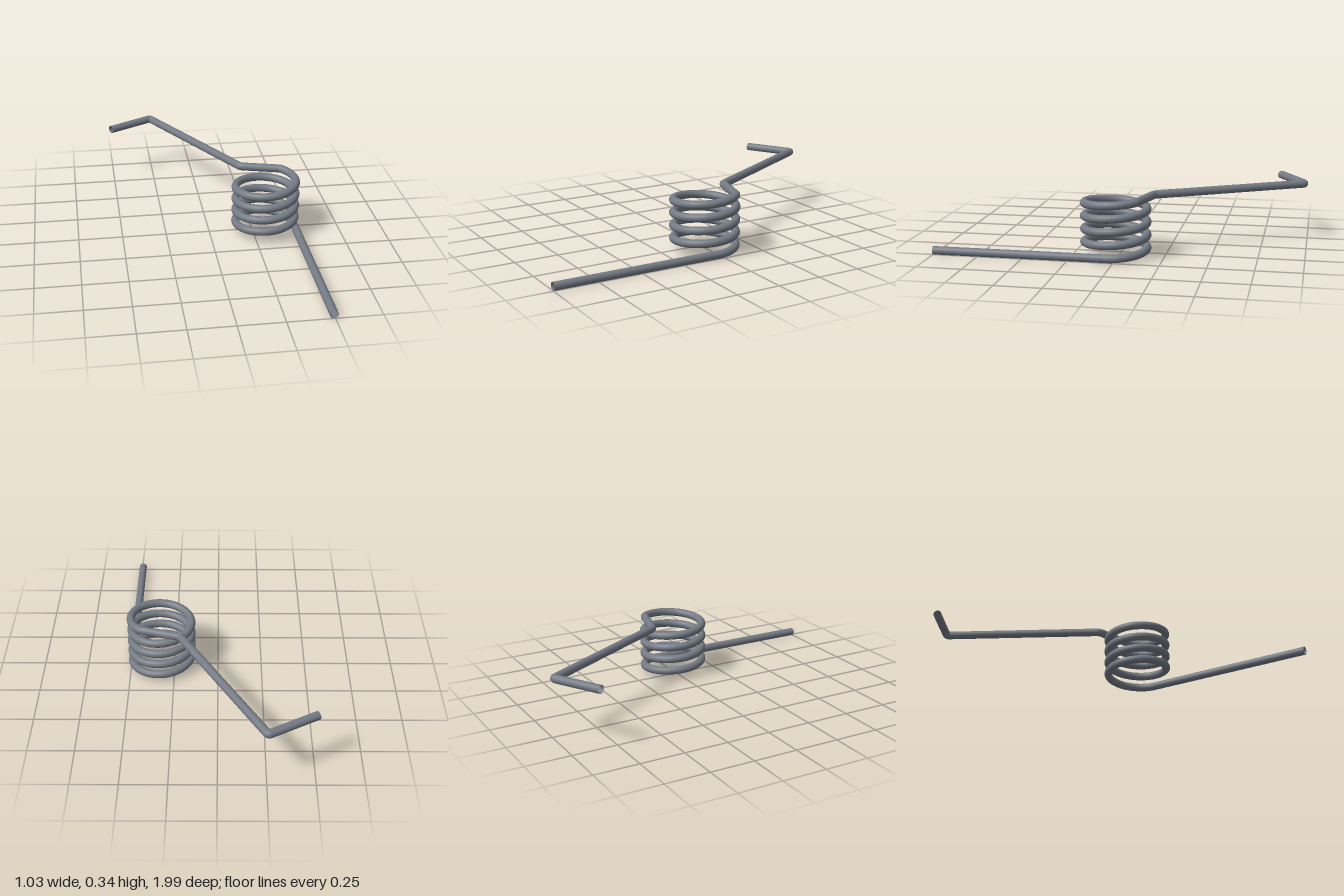
import * as THREE from 'three';

const WIRE = 0.023;               // wire radius
const COIL = { x: 0.322, z: 0.017, r: 0.171 };
const Y0 = 0.0235, Y1 = 0.321;    // heights of the lower and upper legs
const V = (x, y, z) => new THREE.Vector3(x, y, z);

// Curve that visits a list of points exactly, one tube ring per point
class PointPath extends THREE.Curve {
  constructor(points) { super(); this.points = points; }
  index(u) { return Math.round(u * (this.points.length - 1)); }
  getPointAt(u, target = V()) { return target.copy(this.points[this.index(u)]); }
  getTangentAt(u, target = V()) {
    const p = this.points, i = this.index(u);
    const before = i > 0 ? p[i].clone().sub(p[i - 1]).normalize() : V(0, 0, 0);
    const after = i < p.length - 1 ? p[i + 1].clone().sub(p[i]).normalize() : V(0, 0, 0);
    return target.copy(before).add(after).normalize();
  }
}

// Tight rounded bend at a corner
function bend(from, corner, to, size = 0.016) {
  const a = corner.clone().add(from.clone().sub(corner).setLength(size));
  const b = corner.clone().add(to.clone().sub(corner).setLength(size));
  return new THREE.QuadraticBezierCurve3(a, corner, b).getPoints(6);
}

export function createModel() {
  const steel = new THREE.MeshStandardMaterial({ color: 0x747a84, side: THREE.DoubleSide });
  steel.name = 'steel grey';

  // Coil: a little over four turns, rising steadily
  const endAngle = 4 * Math.PI * 2 + THREE.MathUtils.degToRad(50);
  const steps = 200;
  const coil = [];
  for (let i = 0; i <= steps; i++) {
    const t = i / steps, a = t * endAngle;
    coil.push(V(COIL.x + COIL.r * Math.cos(a), Y0 + (Y1 - Y0) * t, COIL.z - COIL.r * Math.sin(a)));
  }

  // Upper arm: out of the coil, along the long leg, then a short hook
  const coilEnd = coil.pop();
  const elbow = V(0.207, Y1, -0.176);
  const hook = V(-0.25, Y1, -0.977);
  const tip = V(-0.507, Y1, -0.832);

  const path = [
    V(coil[0].x, Y0, 1),          // lower straight leg
    ...coil,
    ...bend(coil[coil.length - 1], coilEnd, elbow, 0.01),
    ...bend(coilEnd, elbow, hook),
    ...bend(elbow, hook, tip),
    tip,
  ];

  const wire = new THREE.Mesh(
    new THREE.TubeGeometry(new PointPath(path), path.length - 1, WIRE, 20, false), steel);
  wire.name = 'springWire';

  const group = new THREE.Group();
  group.name = 'torsionSpring';
  group.add(wire);
  return group;
}
